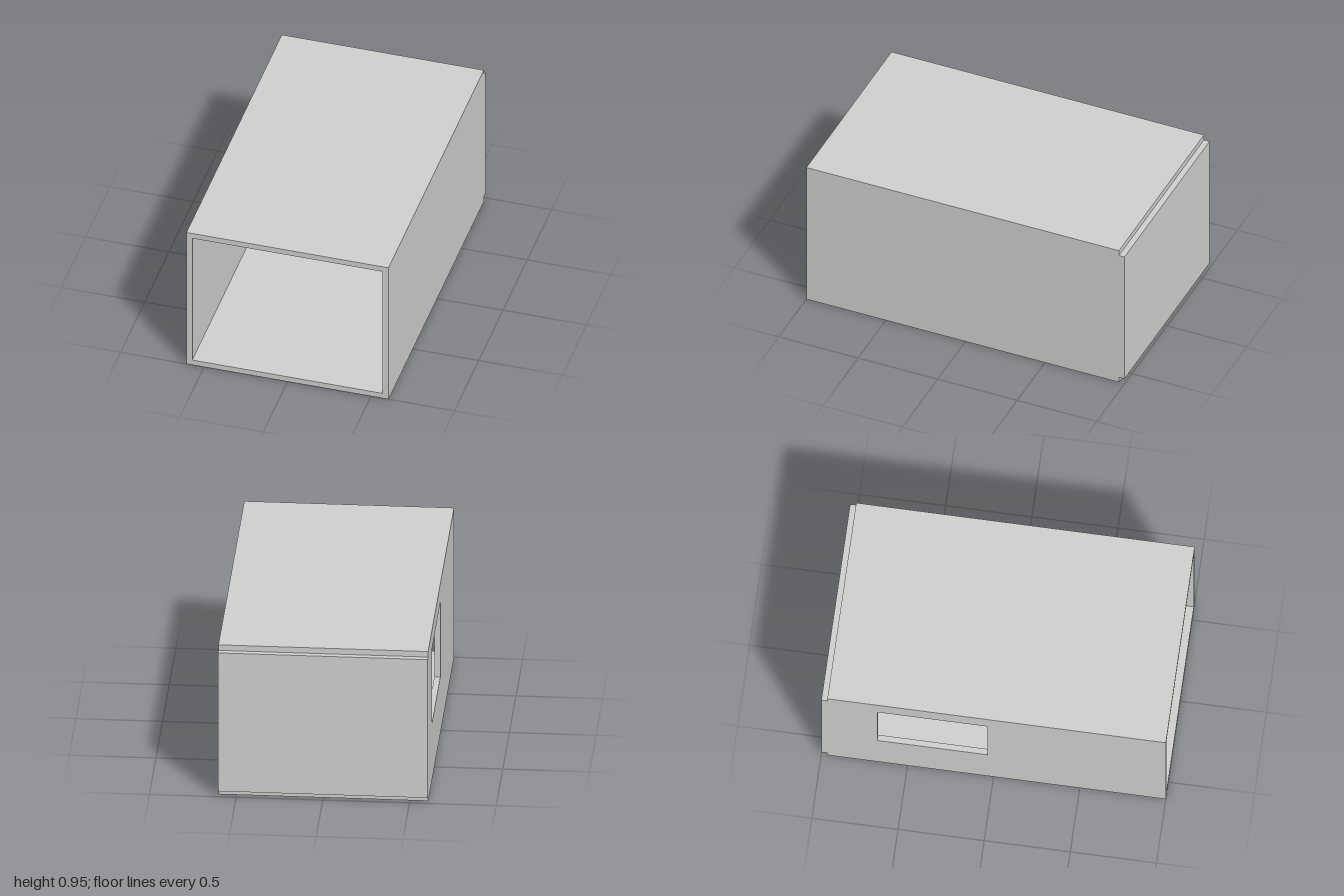
import * as THREE from 'three';

const W = 1.21, H = 0.947, T = 0.035;     // outer width, height, wall thickness
const FRONT = 1, BACK = -0.965;           // depth range of the open tube

const rect = (Type, x0, y0, x1, y1) => {
  const r = new Type();
  r.moveTo(x0, y0);
  r.lineTo(x1, y0);
  r.lineTo(x1, y1);
  r.lineTo(x0, y1);
  r.closePath();
  return r;
};

export function createModel() {
  const group = new THREE.Group();
  const pale = new THREE.MeshStandardMaterial({ color: 0xd1d1cf });
  pale.name = 'pale wall grey';
  const slate = new THREE.MeshStandardMaterial({ color: 0x949599 });
  slate.name = 'slate panel grey';

  const add = (name, geometry, material, x = 0, y = 0, z = 0) => {
    const mesh = new THREE.Mesh(geometry, material);
    mesh.name = name;
    mesh.position.set(x, y, z);
    group.add(mesh);
  };

  const depth = FRONT - BACK, midZ = (FRONT + BACK) / 2;

  // Floor and roof slabs
  add('floor', new THREE.BoxGeometry(W, T, depth), pale, 0, T / 2, midZ);
  add('roof', new THREE.BoxGeometry(W, T, depth), pale, 0, H - T / 2, midZ);

  // Plain side wall
  const wallH = H - 2 * T;
  add('leftWall', new THREE.BoxGeometry(T, wallH, depth), pale, W / 2 - T / 2, H / 2, midZ);

  // Side wall with a window, drawn in z and y, then turned to face sideways
  const wall = rect(THREE.Shape, BACK, T, FRONT, H - T);
  wall.holes.push(rect(THREE.Path, -0.675, 0.355, -0.035, 0.83));
  const wallGeo = new THREE.ExtrudeGeometry(wall, { depth: T, bevelEnabled: false });
  wallGeo.rotateY(-Math.PI / 2);
  add('rightWall', wallGeo, pale, -W / 2 + T);

  // Back wall, set between the floor and roof levels
  add('backWall', new THREE.BoxGeometry(W, wallH, T), pale, 0, H / 2, BACK - T / 2);

  // Panel hung on the inside of the back wall
  add('wallPanel', new THREE.BoxGeometry(0.21, 0.287, 0.02), slate, 0, 0.585, BACK + 0.01);

  return group;
}
